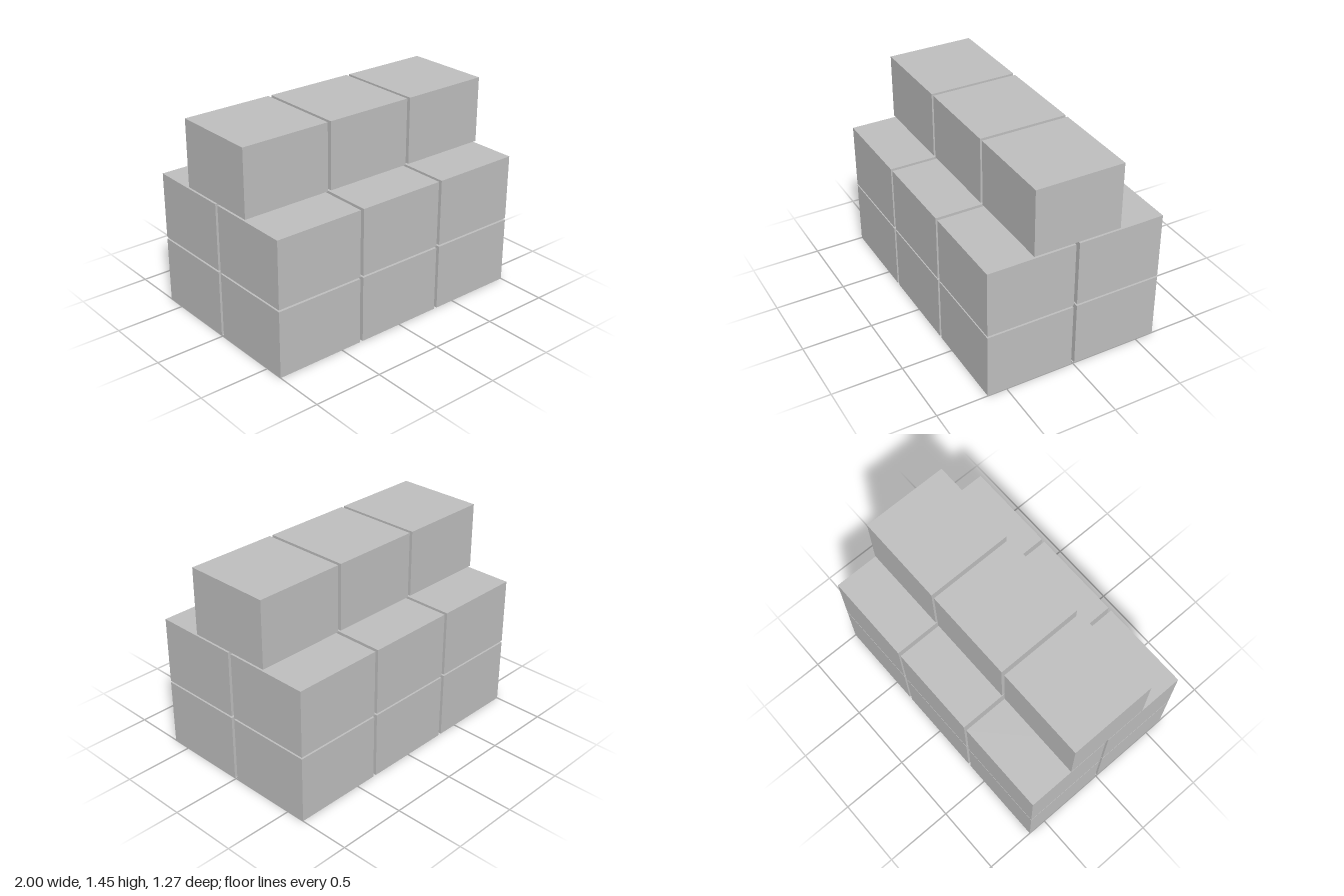
import * as THREE from 'three';

export function createModel() {
  const model = new THREE.Group();
  model.name = 'crateStack';

  const grey = new THREE.MeshStandardMaterial({ color: 0xbfbfbf });
  grey.name = 'plain grey';

  // One crate, with narrow gaps between neighbours
  const width = 0.65, height = 0.475, depth = 0.625;
  const sideGap = 0.025, layerGap = 0.0135;
  const crate = new THREE.BoxGeometry(width, height, depth);

  // Two rows on the lower layers, one centred row on top
  const layers = [
    { name: 'bottomCrate', rows: 2 },
    { name: 'middleCrate', rows: 2 },
    { name: 'topCrate', rows: 1 },
  ];
  layers.forEach(({ name, rows }, level) => {
    for (let row = 0; row < rows; row++) {
      for (let column = -1; column <= 1; column++) {
        const mesh = new THREE.Mesh(crate, grey);
        mesh.name = name;
        mesh.position.set(
          column * (width + sideGap),
          height / 2 + level * (height + layerGap),
          (row - (rows - 1) / 2) * (depth + sideGap)
        );
        model.add(mesh);
      }
    }
  });
  return model;
}
